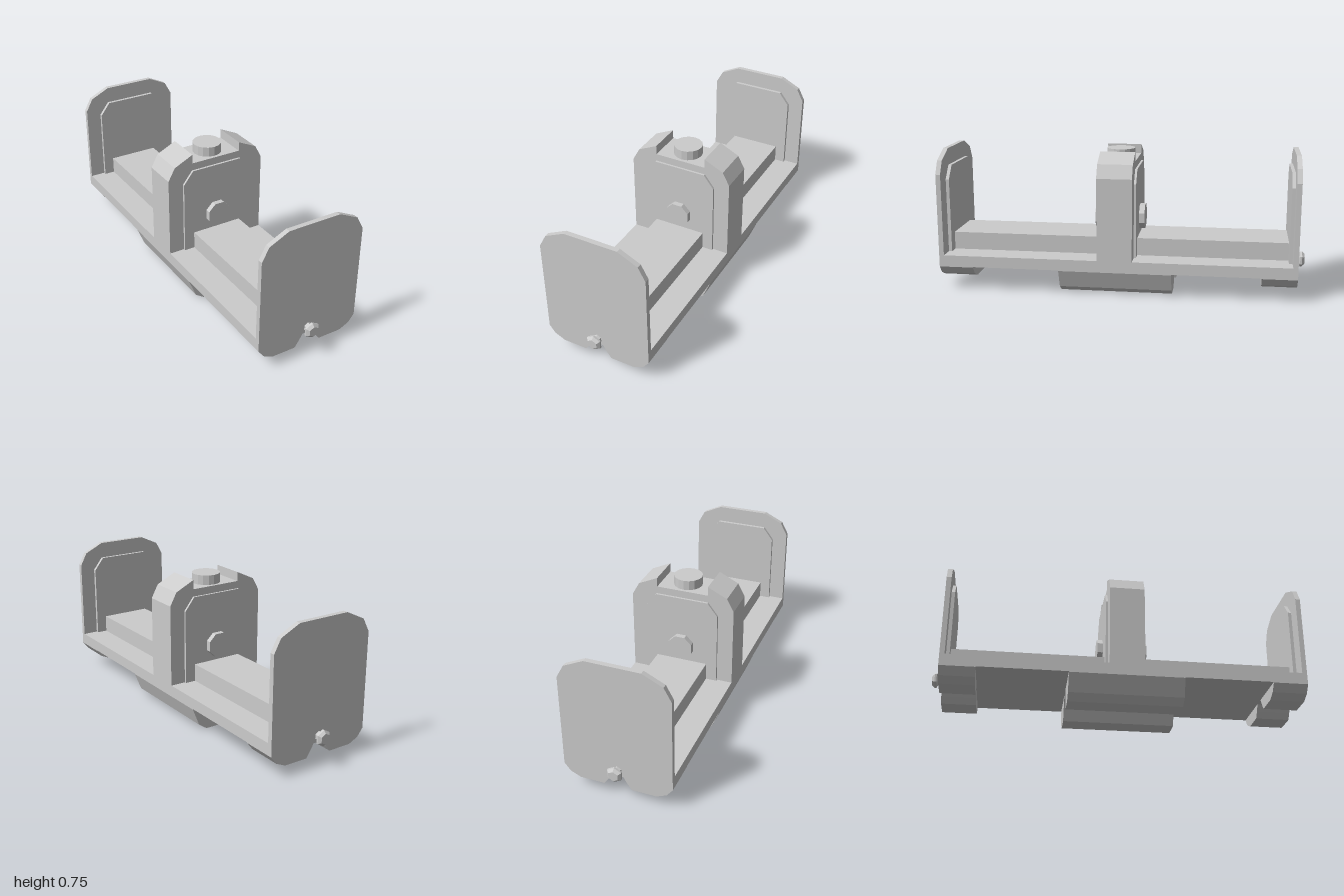
import * as THREE from 'three';

const material = new THREE.MeshStandardMaterial({ color: 0xcccccc, flatShading: true, side: THREE.DoubleSide });

// Extrudes a closed outline along z from z0 to z1
function slab(points, z0, z1) {
  const shape = new THREE.Shape(points.map(([x, y]) => new THREE.Vector2(x, y)));
  const geo = new THREE.ExtrudeGeometry(shape, { depth: z1 - z0, bevelEnabled: false });
  return geo.translate(0, 0, z0);
}

// Completes a right-hand half outline with its mirror image
const mirror = (half) => [...half, ...half.map(([x, y]) => [-x, y]).reverse()];

export function createModel() {
  const group = new THREE.Group();
  const add = (name, geo) => {
    const mesh = new THREE.Mesh(geo, material);
    mesh.name = name;
    group.add(mesh);
    return mesh;
  };

  const W = 0.285, DECK = 0.19, UNDER = 0.13;
  const shoulder = [[W, 0.63], [0.247, 0.70], [0.142, 0.75]];
  const endFoot = [[0.03, UNDER], [0.05, 0.095], [0.073, 0.062], [0.2, 0.062], [0.253, 0.086], [W, 0.127]];
  const midFoot = [[0.03, UNDER], [0.05, 0.095], [0.087, 0], [0.2, 0], [0.247, 0.032], [W, 0.127]];
  const panel = mirror([[0.2, DECK], [0.2, 0.59], [0.145, 0.66]]);

  // Deck with a raised rail on each half
  const deck = add('deck', new THREE.BoxGeometry(2 * W, DECK - UNDER, 1.85));
  deck.position.y = (DECK + UNDER) / 2;
  for (const s of [1, -1]) {
    const rail = add('rail', new THREE.BoxGeometry(0.284, 0.095, 0.81));
    rail.position.set(0, DECK + 0.0475, s * 0.505);
  }

  // Central tower with a channel across its top
  add('tower', slab(mirror([[W, DECK], ...shoulder, [0.142, 0.70]]), -0.093, 0.093));
  const knob = add('topKnob', new THREE.CylinderGeometry(0.077, 0.077, 0.06, 16));
  knob.position.y = 0.722;

  // Paired feet below the middle
  for (const m of [1, -1]) {
    add('middleFoot', slab([...midFoot, [W, UNDER]].map(([x, y]) => [m * x, y]), -0.3, 0.3));
  }

  // End bolt profile: radius, distance along its axis
  const boltProfile = [[0.025, 0], [0.02, 0.015], [0.042, 0.026], [0.042, 0.036], [0.028, 0.05], [0, 0.05]]
    .map(([r, d]) => new THREE.Vector2(r, d));

  for (const s of [1, -1]) {
    const span = (a, b) => (s > 0 ? [a, b] : [-b, -a]);

    // Upright end plate with an inset panel on its inner face
    add('endPlate', slab(mirror([...endFoot, ...shoulder]), ...span(0.925, 0.951)));
    add('endPanel', slab(panel, ...span(0.907, 0.925)));

    // Feet behind the end plate
    for (const m of [1, -1]) {
      add('endFoot', slab([...endFoot, [W, UNDER]].map(([x, y]) => [m * x, y]), ...span(0.767, 0.925)));
    }

    // Bolt through the end plate
    const bolt = add('endBolt', new THREE.LatheGeometry(boltProfile, 6));
    bolt.rotation.x = s * Math.PI / 2;
    bolt.position.set(0, 0.162, s * 0.95);

    // Raised panel and octagonal bolt on the tower face
    add('towerPanel', slab(panel, ...span(0.093, 0.105)));
    const towerBolt = add('towerBolt', new THREE.CylinderGeometry(0.07, 0.07, 0.035, 8).rotateY(Math.PI / 8));
    towerBolt.rotation.x = Math.PI / 2;
    towerBolt.position.set(0, 0.376, s * 0.117);
  }

  return group;
}
